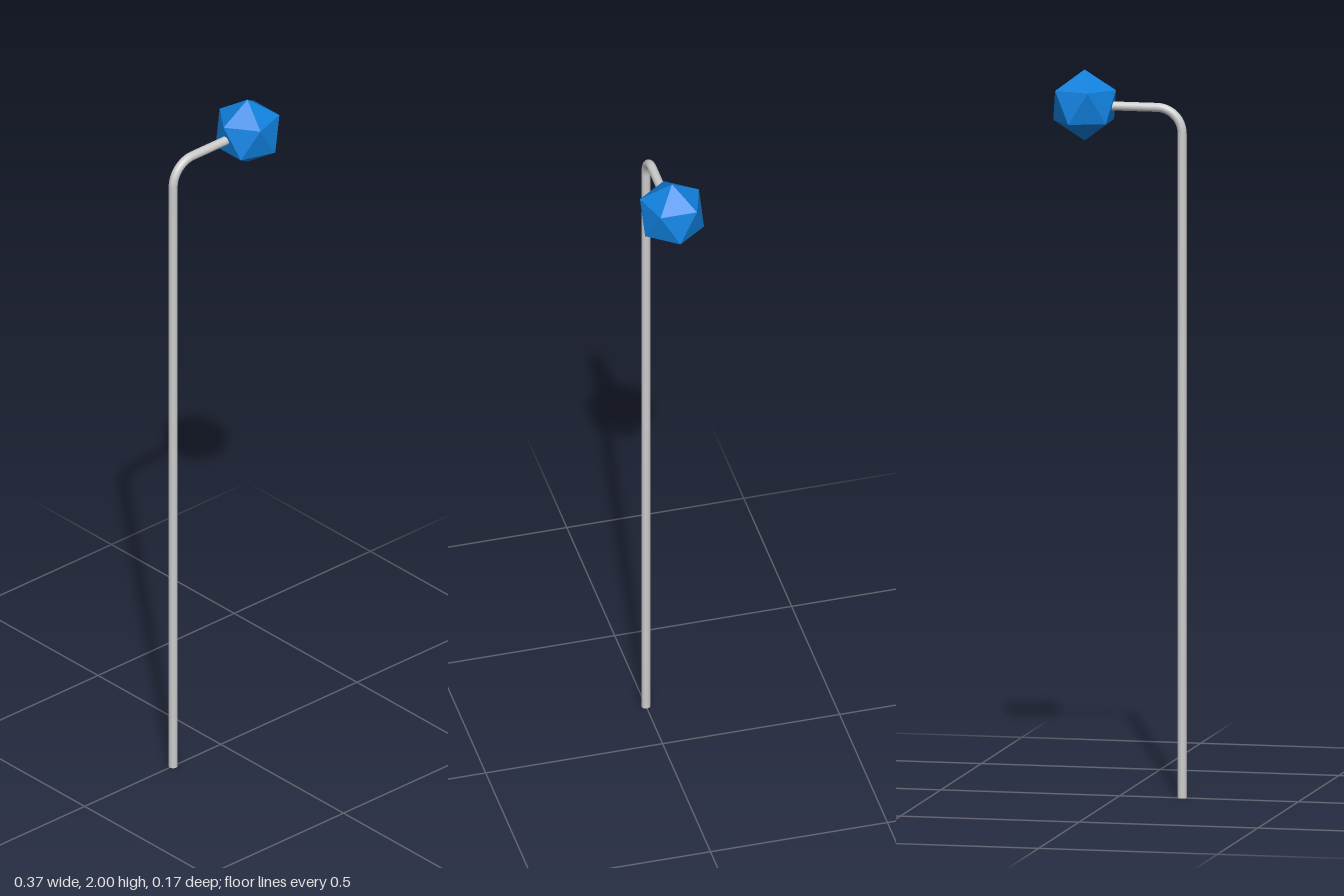
import * as THREE from 'three';

const TUBE = 0.0125;   // rod radius
const BEND = 0.07;     // elbow radius
const POLE_X = -0.175;
const ARM_Y = 1.902;
const BALL = 0.098;    // ball radius, also its x position
const SIDES = 20;

export function createModel() {
  const model = new THREE.Group();
  const grey = new THREE.MeshStandardMaterial({ color: 0xcccccc });
  const blue = new THREE.MeshStandardMaterial({ color: 0x1080dd, flatShading: true });

  const add = (name, geometry, material, x, y) => {
    const mesh = new THREE.Mesh(geometry, material);
    mesh.name = name;
    mesh.position.set(x, y, 0);
    model.add(mesh);
    return mesh;
  };

  // Upright pole, closed at the foot
  const poleHeight = ARM_Y - BEND;
  add('pole', new THREE.CylinderGeometry(TUBE, TUBE, poleHeight, SIDES), grey, POLE_X, poleHeight / 2);

  // Quarter-turn elbow from the pole to the arm
  const elbow = new THREE.TorusGeometry(BEND, TUBE, SIDES, 12, Math.PI / 2);
  elbow.rotateZ(Math.PI / 2);
  add('elbow', elbow, grey, POLE_X + BEND, poleHeight);

  // Short arm reaching into the ball
  const armStart = POLE_X + BEND;
  const armLength = BALL - armStart;
  const arm = new THREE.CylinderGeometry(TUBE, TUBE, armLength, SIDES);
  arm.rotateZ(Math.PI / 2);
  add('arm', arm, grey, armStart + armLength / 2, ARM_Y);

  // Faceted ball, turned so that one corner points straight up
  const ball = new THREE.IcosahedronGeometry(BALL, 0);
  ball.rotateZ(Math.atan(2 / (1 + Math.sqrt(5))));
  add('ball', ball, blue, BALL, ARM_Y);

  return model;
}
